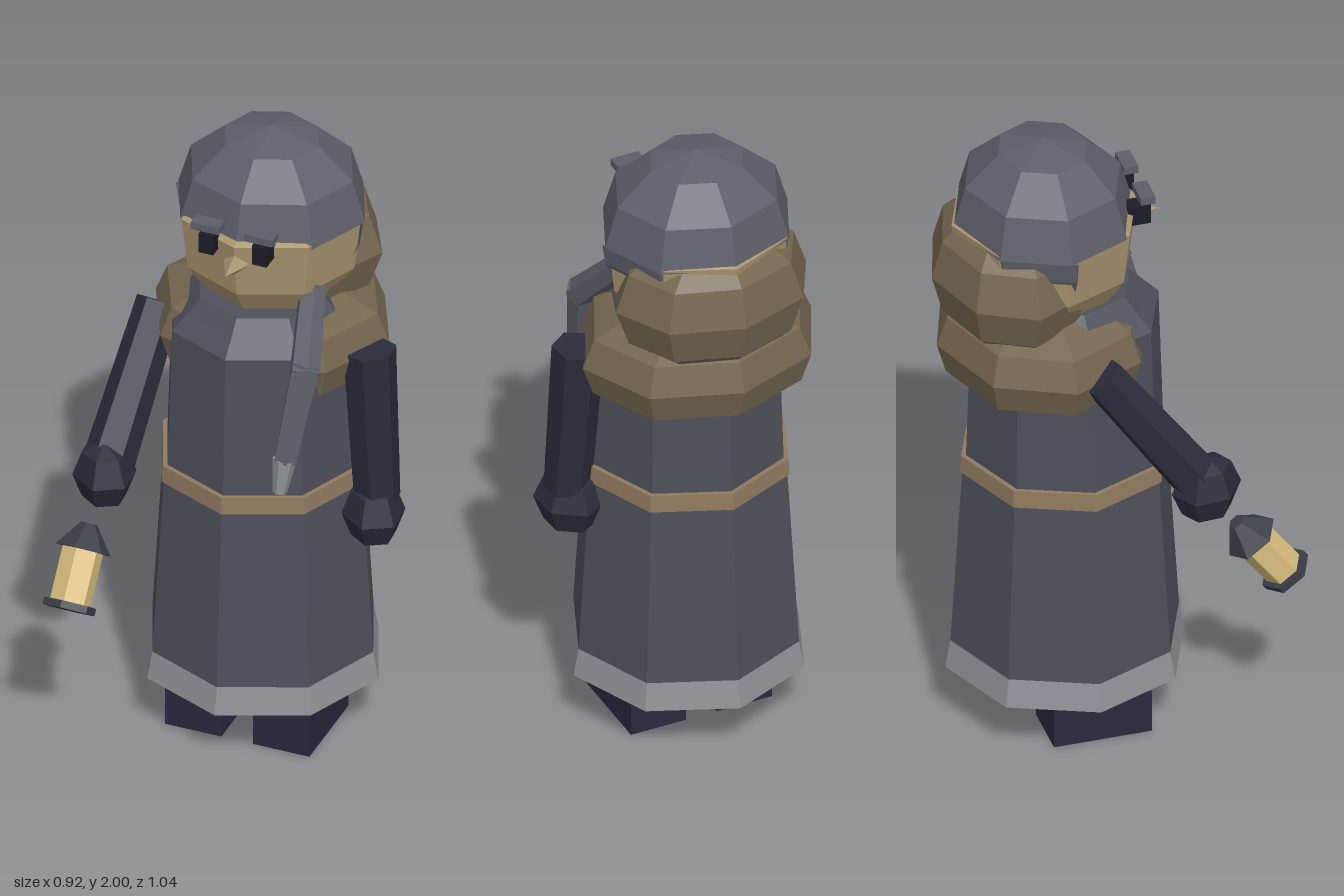
import * as THREE from 'three';

const C = {
  robe: 0x4f4f5a, hem: 0x8f9296, belt: 0x8f7a5f, hair: 0x5e5e69, fur: 0x74664f,
  skin: 0xa8946f, sleeve: 0x2b2b3b, boot: 0x2a283c, leg: 0x3a3a42, eye: 0x1c1c28,
  iron: 0x3a3e46, glow: 0xd9bd7c,
};
const materials = {};
const mat = (color) => (materials[color] ??= new THREE.MeshStandardMaterial({ color, flatShading: true }));

export function createModel() {
  const model = new THREE.Group();
  model.name = 'lanternBearer';

  const add = (name, geometry, color, pos = [0, 0, 0], parent = model) => {
    const mesh = new THREE.Mesh(geometry, mat(color));
    mesh.name = name;
    mesh.position.set(...pos);
    parent.add(mesh);
    return mesh;
  };
  // Eight-sided turned shape, profile [radius, y] from bottom to top
  const turned = (name, profile, color, z) =>
    add(name, new THREE.LatheGeometry(profile.map((p) => new THREE.Vector2(...p)), 8), color, [0, 0, z]);
  // Tapered prism between two points
  const limb = (name, a, b, rA, rB, sides, color) => {
    const from = new THREE.Vector3(...a), to = new THREE.Vector3(...b);
    const dir = to.clone().sub(from);
    const mesh = add(name, new THREE.CylinderGeometry(rB, rA, dir.length(), sides), color);
    mesh.position.copy(from).add(to).multiplyScalar(0.5);
    mesh.quaternion.setFromUnitVectors(new THREE.Vector3(0, 1, 0), dir.normalize());
    return mesh;
  };

  // Boots, legs, eyes and brows, mirrored
  for (const s of [-1, 1]) {
    const side = s > 0 ? 'left' : 'right';
    add(side + 'Boot', new THREE.BoxGeometry(0.18, 0.14, 0.3), C.boot, [s * 0.14, 0.07, -0.065]);
    add(side + 'Leg', new THREE.CylinderGeometry(0.085, 0.085, 0.1, 8), C.leg, [s * 0.14, 0.17, -0.11]);
    add(side + 'Eye', new THREE.BoxGeometry(0.047, 0.065, 0.07), C.eye, [s * 0.085, 1.742, 0.085]);
    add(side + 'Brow', new THREE.BoxGeometry(0.09, 0.024, 0.045), C.hair, [s * 0.085, 1.802, 0.105]);
  }

  // Robe with hem, belt and collar
  turned('hem', [[0, 0.19], [0.367, 0.19], [0.351, 0.28]], C.hem, -0.112);
  turned('robeSkirt', [[0.351, 0.28], [0.315, 0.87]], C.robe, -0.112);
  turned('belt', [[0.3, 0.87], [0.322, 0.87], [0.318, 0.925], [0.295, 0.925]], C.belt, -0.112);
  turned('robeTop', [[0.304, 0.9], [0.288, 1.39], [0.24, 1.44]], C.robe, -0.112);
  turned('collar', [[0.24, 1.44], [0.2, 1.485], [0, 1.5]], C.robe, -0.112);

  // Fur scarf: ring hidden by the chest at the front
  const scarf = turned('scarf', [[0.25, 1.19], [0.34, 1.235], [0.372, 1.33], [0.335, 1.42], [0.22, 1.47], [0, 1.47]],
    C.fur, -0.185);
  scarf.scale.z = 0.86;

  // Head and nose
  turned('head', [[0, 1.475], [0.205, 1.478], [0.265, 1.57], [0.285, 1.745], [0.22, 1.78], [0, 1.9]], C.skin, -0.175);
  const nose = add('nose', new THREE.ConeGeometry(0.04, 0.085, 4), C.skin, [0, 1.683, 0.132]);
  nose.rotation.x = Math.PI / 2;

  // Hair cap, hanging lower at the back
  const cap = add('hairCap', new THREE.SphereGeometry(1, 8, 3, 0, Math.PI * 2, 0, Math.PI / 2), C.hair, [0, 1.735, -0.18]);
  cap.scale.set(0.297, 0.265, 0.275);
  const backHair = add('backHair',
    new THREE.SphereGeometry(1, 4, 1, Math.PI, Math.PI, Math.PI / 2, Math.PI / 6), C.hair, [0, 1.735, -0.16]);
  backHair.scale.set(0.297, 0.265, 0.295);
  backHair.material = mat(C.hair).clone();
  backHair.material.side = THREE.DoubleSide;

  // Lowered hood bundle behind the head
  const hood = add('furHood', new THREE.SphereGeometry(1, 8, 6), C.fur, [0, 1.57, -0.28]);
  hood.scale.set(0.31, 0.24, 0.24);

  // Side braid
  limb('braidUpper', [0.185, 1.56, -0.05], [0.232, 1.37, 0.125], 0.042, 0.048, 6, C.hair);
  limb('braidLower', [0.232, 1.4, 0.11], [0.2, 1.1, 0.2], 0.046, 0.036, 6, C.hair);
  limb('braidTip', [0.2, 1.11, 0.2], [0.19, 1.0, 0.215], 0.036, 0.022, 6, C.hem);

  // Arms and mittens
  limb('rightArm', [-0.325, 1.35, -0.1], [-0.365, 0.95, 0.19], 0.068, 0.078, 6, C.sleeve);
  limb('leftArm', [0.345, 1.35, -0.1], [0.375, 0.85, -0.085], 0.08, 0.07, 6, C.sleeve);
  for (const [name, pos] of [['rightHand', [-0.37, 0.925, 0.21]], ['leftHand', [0.365, 0.8, -0.08]]]) {
    const hand = add(name, new THREE.SphereGeometry(0.108, 6, 4), C.sleeve, pos);
    hand.scale.set(0.88, 1, 1.05);
    hand.rotation.y = Math.PI / 6;
  }

  // Swinging lantern
  const lantern = new THREE.Group();
  lantern.name = 'lantern';
  lantern.position.set(-0.382, 0.585, 0.455);
  lantern.rotation.x = -0.65;
  model.add(lantern);
  add('lanternBase', new THREE.CylinderGeometry(0.08, 0.08, 0.022, 6), C.iron, [0, 0.011, 0], lantern);
  add('lanternGlass', new THREE.CylinderGeometry(0.062, 0.062, 0.17, 6), C.glow, [0, 0.1, 0], lantern);
  add('lanternRoof', new THREE.CylinderGeometry(0.025, 0.085, 0.08, 6), C.iron, [0, 0.222, 0], lantern);

  return model;
}
